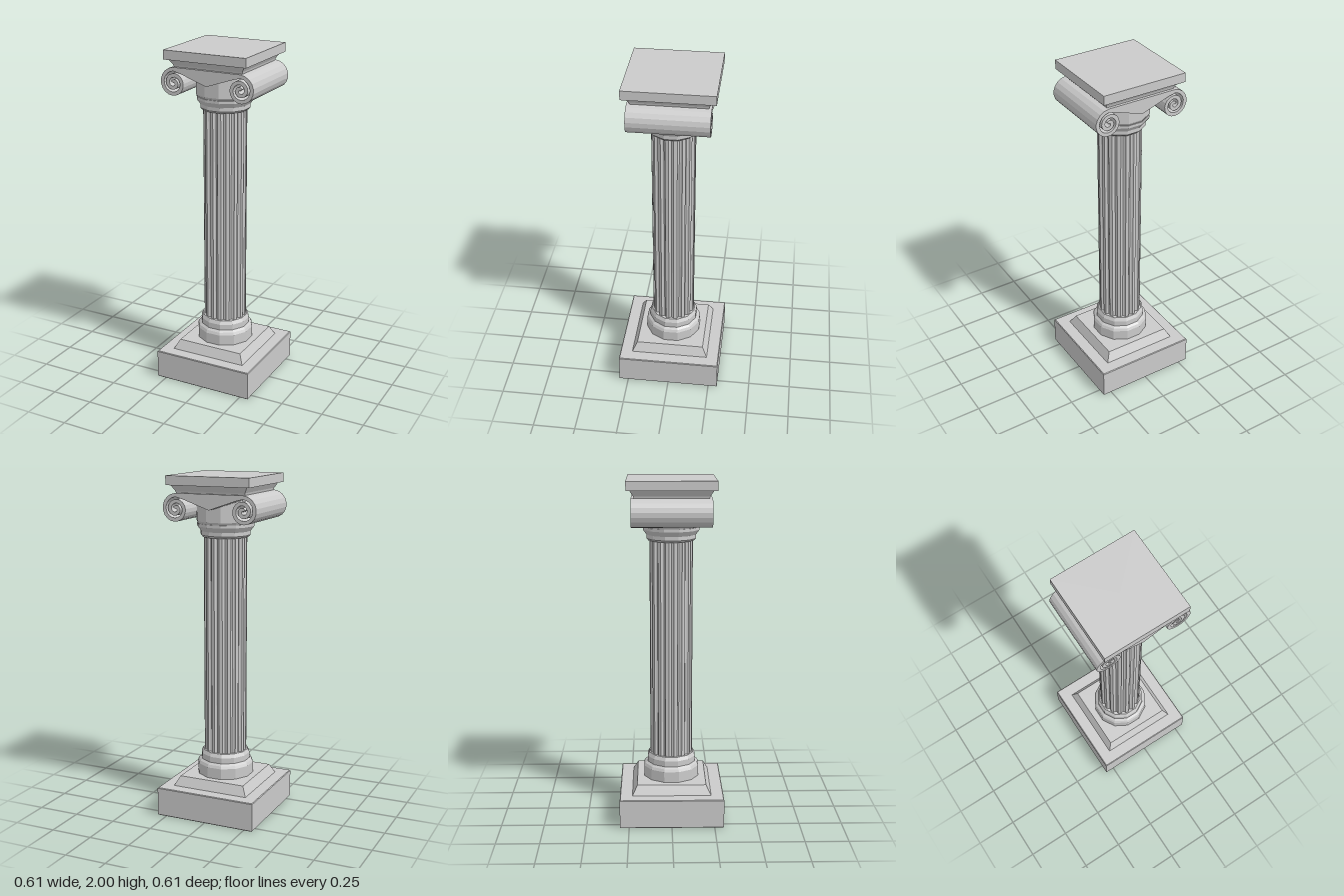
import * as THREE from 'three';

const stone = new THREE.MeshStandardMaterial({ color: 0xcccccc, flatShading: true });

function add(parent, name, geometry) {
  const mesh = new THREE.Mesh(geometry, stone);
  mesh.name = name;
  parent.add(mesh);
  return mesh;
}

const toPoints = (pairs) => pairs.map(([x, y]) => new THREE.Vector2(x, y));

// Square tier: the profile gives [half width, height] from bottom to top
function squareTier(profile) {
  const pts = toPoints(profile.map(([w, y]) => [w * Math.SQRT2, y]));
  return new THREE.LatheGeometry(pts, 4, Math.PI / 4);
}

// Twelve-sided turned moulding
function moulding(profile) {
  return new THREE.LatheGeometry(toPoints(profile), 12, Math.PI / 12);
}

// Extrusion along z, centred on z = 0
function slab(shape, depth) {
  const g = new THREE.ExtrudeGeometry(shape, { depth, bevelEnabled: false });
  return g.translate(0, 0, -depth / 2);
}

// Round outline cut by evenly spaced flutes
function flutedShape(radius, flutes, depth) {
  const pts = [];
  const step = (Math.PI * 2) / flutes;
  const section = [[-0.3, 0], [-0.17, 0.75], [0, 1], [0.17, 0.75], [0.3, 0]];
  for (let i = 0; i < flutes; i++) {
    for (const [offset, cut] of section) {
      const a = (i + offset) * step;
      const r = radius - depth * cut;
      pts.push(new THREE.Vector2(Math.cos(a) * r, Math.sin(a) * r));
    }
  }
  return new THREE.Shape(pts);
}

// Spiral band that starts at the top and winds inwards, outwards side first
function scrollShape(cx, cy, side) {
  const turns = 2.15, steps = 40, outer = [], inner = [];
  for (let i = 0; i <= steps; i++) {
    const t = (i / steps) * turns;
    const a = Math.PI / 2 - side * t * Math.PI * 2;
    const r = 0.088 - 0.034 * t;
    const inside = Math.max(r - 0.021, 0.001);
    outer.push(new THREE.Vector2(cx + Math.cos(a) * r, cy + Math.sin(a) * r));
    inner.push(new THREE.Vector2(cx + Math.cos(a) * inside, cy + Math.sin(a) * inside));
  }
  return new THREE.Shape([...outer, ...inner.reverse()]);
}

export function createModel() {
  const column = new THREE.Group();
  column.name = 'column';

  // Foot: plinth, sloped step and turned base
  add(column, 'plinth', squareTier([
    [0, 0], [0.3, 0], [0.304, 0.004], [0.304, 0.168], [0.3, 0.172], [0, 0.172],
  ]));
  add(column, 'slopedStep', squareTier([[0, 0.17], [0.232, 0.17], [0.202, 0.228], [0, 0.228]]));
  add(column, 'base', moulding([
    [0, 0.226], [0.168, 0.226], [0.168, 0.292], [0.16, 0.307],
    [0.146, 0.318], [0.146, 0.352], [0.134, 0.373], [0, 0.373],
  ]));

  // Fluted shaft
  const shaft = slab(flutedShape(0.125, 16, 0.013), 1.29);
  add(column, 'shaft', shaft.rotateX(-Math.PI / 2).translate(0, 1.011, 0));

  // Capital: collar and drum
  const capital = new THREE.Group();
  capital.name = 'capital';
  column.add(capital);
  add(capital, 'collar', moulding([
    [0, 1.648], [0.134, 1.648], [0.145, 1.66], [0.145, 1.682],
    [0.166, 1.71], [0.166, 1.726], [0, 1.726],
  ]));
  add(capital, 'drum', moulding([[0, 1.72], [0.158, 1.72], [0.17, 1.74], [0.17, 1.88], [0, 1.88]]));

  // Canopy with a pointed lower edge, joining the two scrolls
  const cx = 0.205, cy = 1.815;
  add(capital, 'canopy', slab(new THREE.Shape(toPoints([
    [-cx, 1.903], [-cx, 1.882], [-0.165, 1.872], [0, 1.815],
    [0.165, 1.872], [cx, 1.882], [cx, 1.903],
  ])), 0.45));
  for (const side of [1, -1]) {
    add(capital, side > 0 ? 'leftScroll' : 'rightScroll', slab(scrollShape(side * cx, cy, side), 0.45));
  }

  // Abacus
  add(capital, 'abacusMoulding', squareTier([
    [0, 1.9], [0.208, 1.9], [0.212, 1.915], [0.232, 1.948], [0, 1.948],
  ]));
  add(capital, 'abacus', squareTier([[0, 1.947], [0.252, 1.947], [0.252, 2], [0, 2]]));

  return column;
}
